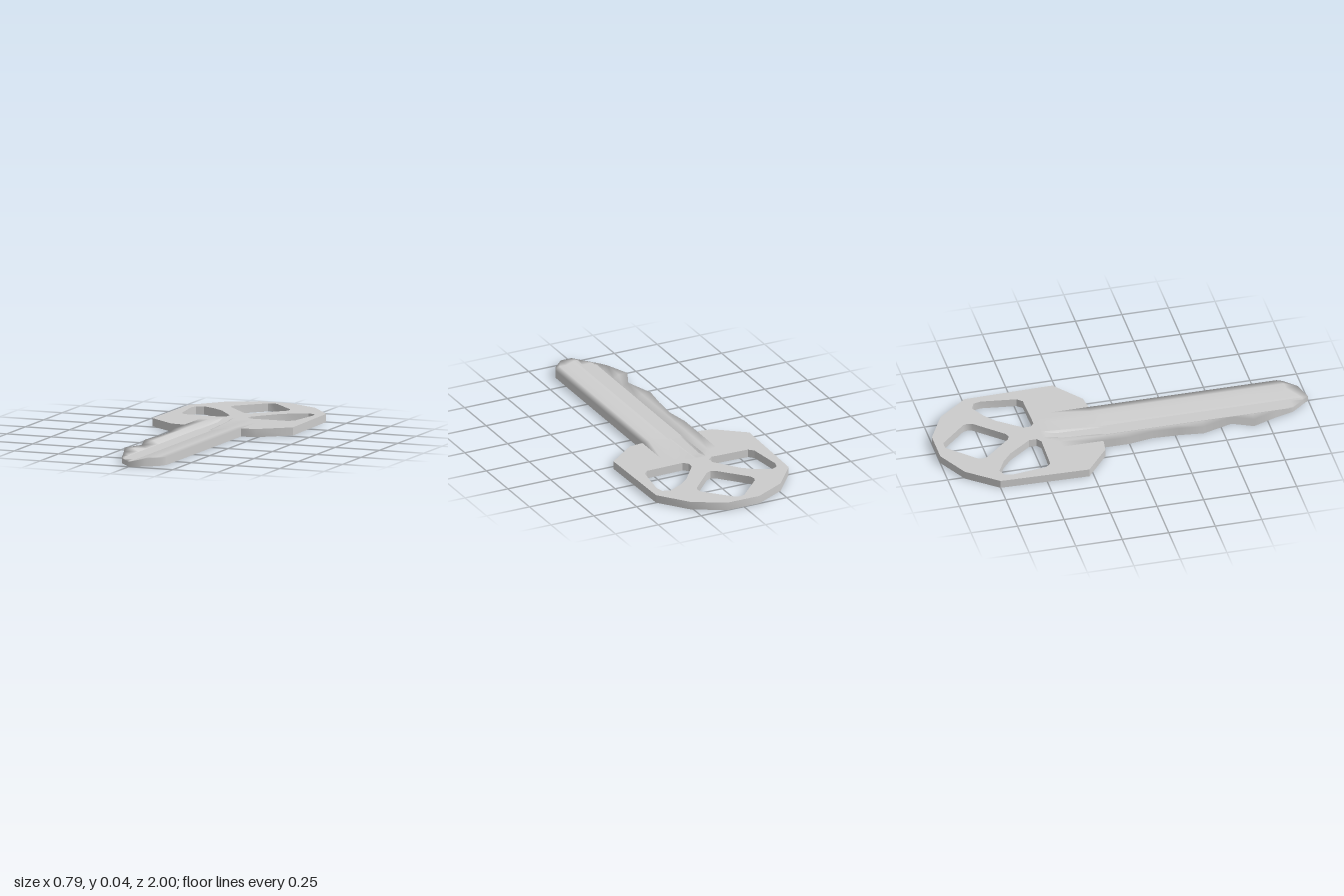
import * as THREE from 'three';
import { toCreasedNormals } from 'three/addons/utils/BufferGeometryUtils.js';

const T = 0.043; // thickness of the key
const ROOT = -0.14; // z where the blade leaves the bow
const material = new THREE.MeshStandardMaterial({ color: 0xcccccc });

// Points are given as [x, z]; the shape plane is laid flat afterwards
const toVectors = (pts) => pts.map(([x, z]) => new THREE.Vector2(x, -z));
const mirror = (pts) => pts.map(([x, z]) => [-x, z]).reverse();

function lerpTable(table, v) {
  if (v <= table[0][0]) return table[0][1];
  for (let i = 1; i < table.length; i++) {
    const [a, ya] = table[i - 1], [b, yb] = table[i];
    if (v <= b) return b > a ? ya + ((yb - ya) * (v - a)) / (b - a) : yb;
  }
  return table[table.length - 1][1];
}

// Head of the key: angular plate with three windows and a notch for the blade root
function makeBow() {
  const half = [[0.09, -1], [0.26, -0.91], [0.387, -0.75], [0.397, -0.275],
    [0.24, -0.15], [0.16, ROOT], [0.16, -0.44]];
  // Counter-clockwise outline, so the extrusion also orients the windows correctly
  const shape = new THREE.Shape(toVectors([...half, ...mirror(half)].reverse()));

  const diamondHalf = [[0, -0.958], [0.025, -0.953], [0.157, -0.815], [0.164, -0.79],
    [0.157, -0.765], [0.025, -0.62], [0, -0.61]];
  const diamond = [...diamondHalf, ...mirror(diamondHalf).slice(1, -1)];
  const side = [[0.295, -0.733], [0.335, -0.715], [0.345, -0.675], [0.32, -0.488],
    [0.295, -0.46], [0.085, -0.455], [0.06, -0.475], [0.06, -0.515],
    [0.155, -0.64], [0.215, -0.69]];
  for (const hole of [diamond, side, mirror(side)]) {
    shape.holes.push(new THREE.Path(toVectors(hole)));
  }
  const geo = new THREE.ExtrudeGeometry(shape, { depth: T, bevelEnabled: false });
  geo.rotateX(-Math.PI / 2);
  const mesh = new THREE.Mesh(toCreasedNormals(geo, 0.58), material);
  mesh.name = 'bow';
  return mesh;
}

// Blade: cross-sections along z, each [z, left x, right x]
function makeBlade() {
  const sections = [[-0.44, -0.16, 0.16], [-0.42, -0.16, 0.16], [-0.36, -0.16, 0.16],
    [ROOT, -0.16, 0.16], [-0.1, -0.16, 0.16], [0, -0.16, 0.16], [0.13, -0.138, 0.16],
    [0.27, -0.145, 0.16], [0.4, -0.16, 0.16], [0.56, -0.11, 0.16], [0.67, -0.16, 0.16],
    [0.8, -0.11, 0.16], [0.87, -0.09, 0.16], [0.9, -0.08, 0.145], [0.965, -0.027, 0.08],
    [1, 0, 0]];
  const positions = [], index = [];
  let cols = 0;

  for (const [z, left, right] of sections) {
    // Groove: narrow and steep in the bow, shallow and wide on the blade
    const shoulder = lerpTable([[-0.42, T], [-0.1, 0.025]], z);
    const floor = lerpTable([[-0.42, T], [-0.36, 0.03], [-0.1, 0.025]], z);
    const edge = lerpTable([[-0.42, -0.068], [-0.1, -0.08]], z);
    const slot = [[edge, shoulder], [edge + 0.01, floor], [-0.013, floor], [0, shoulder]];
    // Slot corners are doubled to keep their edges sharp
    const profile = [[-0.11, T], ...slot.flatMap((p) => [p, p]), [0.08, T], [0.12, T]];
    const xs = [left, ...profile.map((p) => p[0]), right]
      .map((x) => THREE.MathUtils.clamp(x, left, right));
    cols = xs.length;
    for (const x of xs) positions.push(x, lerpTable(profile, x), z);
    for (const x of xs) positions.push(x, 0, z);
  }

  const quad = (a, b, c, d) => index.push(a, b, c, b, d, c);
  for (let j = 0; j < sections.length - 1; j++) {
    const top = j * cols * 2, nextTop = top + cols * 2;
    const low = top + cols, nextLow = nextTop + cols;
    for (let i = 0; i < cols - 1; i++) {
      quad(top + i, nextTop + i, top + i + 1, nextTop + i + 1);
      quad(low + i, low + i + 1, nextLow + i, nextLow + i + 1);
    }
    // Side walls only where the blade is outside the bow
    if (sections[j][0] >= ROOT) {
      const e = cols - 1;
      quad(top, low, nextTop, nextLow);
      quad(top + e, nextTop + e, low + e, nextLow + e);
    }
  }

  const geo = new THREE.BufferGeometry();
  geo.setAttribute('position', new THREE.Float32BufferAttribute(positions, 3));
  geo.setIndex(index);
  geo.computeVertexNormals();

  // Rim normals point straight outward, giving the blade its soft, rounded edge
  const normal = geo.attributes.normal;
  sections.forEach(([z, left, right], j) => {
    if (z < ROOT) return;
    const before = sections[j - 1], after = sections[j + 1] ?? sections[j];
    const dz = after[0] - before[0];
    const tip = j === sections.length - 1;
    for (let k = j * cols * 2; k < (j + 1) * cols * 2; k++) {
      const x = positions[k * 3];
      const n = new THREE.Vector3();
      if (tip) n.set(0, 0, 1);
      else if (x === left) n.set(-dz, 0, after[1] - before[1]);
      else if (x === right) n.set(dz, 0, before[2] - after[2]);
      else continue;
      n.normalize();
      normal.setXYZ(k, n.x, n.y, n.z);
    }
  });

  const mesh = new THREE.Mesh(geo, material);
  mesh.name = 'blade';
  return mesh;
}

export function createModel() {
  const key = new THREE.Group();
  key.name = 'key';
  key.add(makeBow(), makeBlade());
  return key;
}
